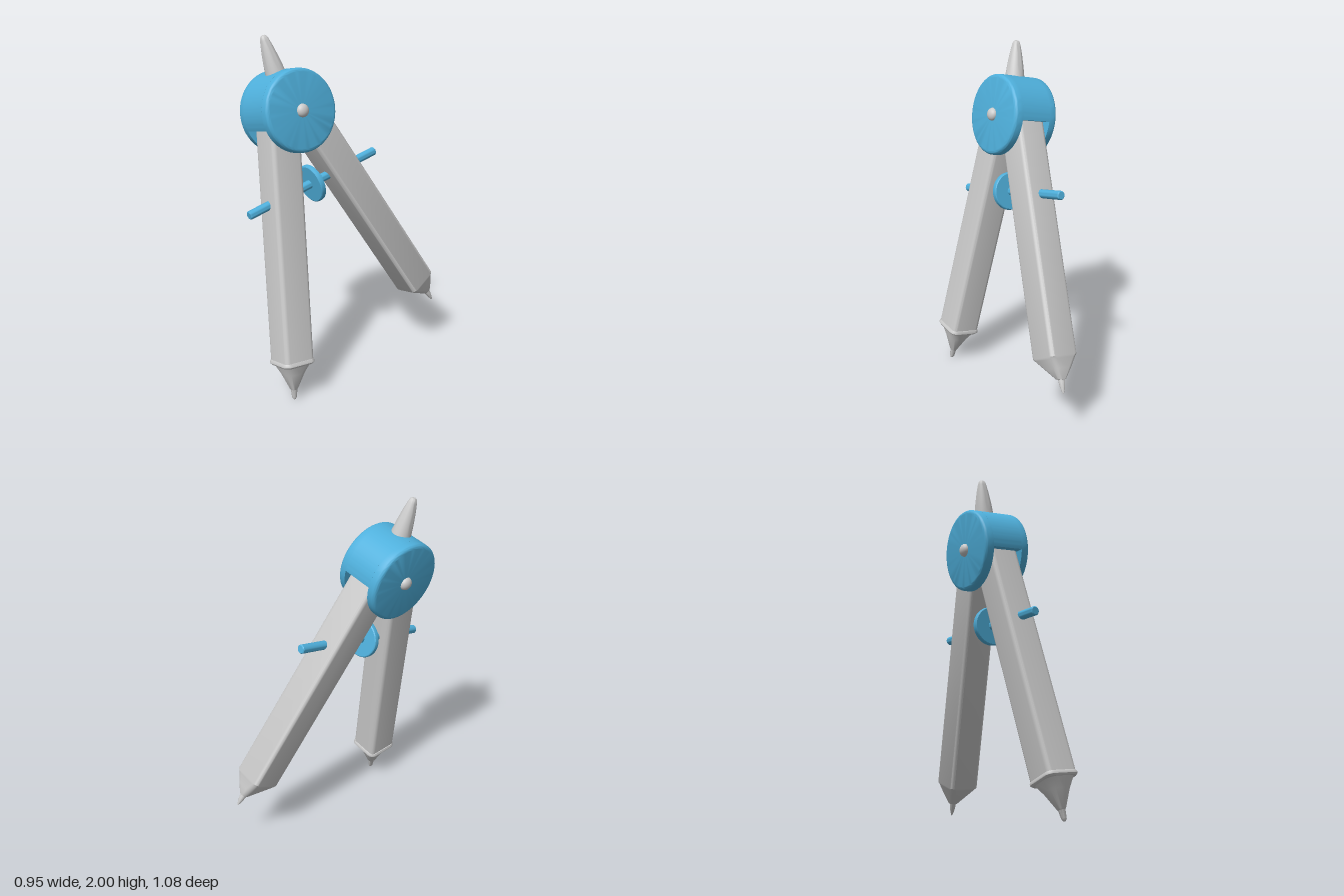
import * as THREE from 'three';
import { toCreasedNormals } from 'three/addons/utils/BufferGeometryUtils.js';

const grey = new THREE.MeshStandardMaterial({ color: 0xcccccc });
const blue = new THREE.MeshStandardMaterial({ color: 0x4fb0dc });

function add(parent, name, geometry, material) {
  const mesh = new THREE.Mesh(geometry, material);
  mesh.name = name;
  parent.add(mesh);
  return mesh;
}

// Rounded-rectangle sections stacked down -y: [distance, half width, half depth, corner radius, x offset]
function loft(sections) {
  const steps = 6, n = 4 * steps, pos = [], index = [];
  for (const [t, w, d, r, off = 0] of sections) {
    for (let j = 0; j < n; j++) {
      const q = Math.floor(j / steps);
      const a = (q + (j % steps) / (steps - 1)) * Math.PI / 2;
      const sx = q === 0 || q === 3 ? 1 : -1, sz = q < 2 ? 1 : -1;
      pos.push(off + sx * (w - r) + r * Math.cos(a), -t, sz * (d - r) + r * Math.sin(a));
    }
  }
  for (let i = 0; i < sections.length - 1; i++) {
    for (let j = 0; j < n; j++) {
      const a = i * n + j, b = i * n + (j + 1) % n;
      index.push(a, b, a + n, b, b + n, a + n);
    }
  }
  const g = new THREE.BufferGeometry();
  g.setAttribute('position', new THREE.Float32BufferAttribute(pos, 3));
  g.setIndex(index);
  return toCreasedNormals(g, 0.6);
}

function lathe(points, segments = 48) {
  const g = new THREE.LatheGeometry(points.map(p => new THREE.Vector2(...p)), segments);
  return toCreasedNormals(g, 0.6);
}

export function createModel() {
  const model = new THREE.Group();
  model.name = 'drawingCompass';

  // Tilted frame: x spans the legs, y points along the handle, z is the hinge axis
  const frame = new THREE.Group();
  frame.name = 'compass';
  const hinge = new THREE.Vector3(-0.835, -0.204, -0.511).normalize();
  const up = new THREE.Vector3(-0.284, 0.955, 0.083);
  up.addScaledVector(hinge, -up.dot(hinge)).normalize();
  const side = new THREE.Vector3().crossVectors(up, hinge);
  frame.quaternion.setFromRotationMatrix(new THREE.Matrix4().makeBasis(side, up, hinge));
  frame.position.set(-0.2425, 1.585, 0.11);
  model.add(frame);

  const R = 0.23, slot = 0.092, half = 0.144;

  // Hinge head: two cheeks with rounded rims, joined by a block above the leg slot
  for (const s of [1, -1]) {
    const f = 0.022, pts = [[0, slot], [R, slot]];
    for (let i = 0; i <= 6; i++) {
      const a = i / 6 * Math.PI / 2;
      pts.push([R - f + f * Math.cos(a), half - f + f * Math.sin(a)]);
    }
    pts.push([0, half]);
    const cheek = add(frame, 'headCheek', lathe(pts, 64), blue);
    cheek.rotation.x = s * Math.PI / 2;

    // Hinge pin ends
    const pin = add(frame, 'hingePin', new THREE.SphereGeometry(0.037, 24, 16), grey);
    pin.position.z = s * half;
    pin.scale.z = 0.75;
  }
  const cut = -0.14;
  const segment = new THREE.Shape();
  segment.absarc(0, 0, R, cut, Math.PI - cut, false);
  segment.closePath();
  const block = new THREE.ExtrudeGeometry(segment, { depth: 2 * slot, bevelEnabled: false, curveSegments: 48 });
  block.translate(0, 0, -slot);
  add(frame, 'headBlock', toCreasedNormals(block, 0.6), blue);

  // Tapered handle with a rounded end
  add(frame, 'handle', lathe([[0.06, 0.18], [0.055, 0.23], [0.047, 0.29], [0.035, 0.36],
    [0.025, 0.405], [0.02, 0.422], [0.012, 0.431], [0, 0.434]], 32), grey);

  // Legs: square bars with softened corners
  const w = 0.095, d = 0.09, angle = 0.309, end = 1.375;
  const bar = [[0, 0, 0, 0], [0, w, d, 0.025], [end, w, d, 0.025]];
  const frontLeg = new THREE.Group();
  frontLeg.name = 'frontLeg';
  frontLeg.position.x = 0.076;
  frontLeg.rotation.z = angle;
  const backLeg = new THREE.Group();
  backLeg.name = 'backLeg';
  backLeg.position.x = -0.076;
  backLeg.rotation.z = -angle;
  frame.add(frontLeg, backLeg);

  add(frontLeg, 'frontLegBar', loft([...bar, [end, 0, 0, 0]]), grey);
  add(frontLeg, 'frontCollar', loft([[end - 0.008, w - 0.01, d - 0.01, 0.03], [end - 0.005, w + 0.004, d + 0.004, 0.035],
    [end + 0.004, w + 0.009, d + 0.009, 0.04], [end + 0.013, w + 0.009, d + 0.009, 0.04],
    [end + 0.022, w + 0.002, d + 0.002, 0.04], [end + 0.025, 0, 0, 0]]), grey);
  add(frontLeg, 'pencilTip', loft([[end + 0.02, 0.09, 0.086, 0.05], [1.45, 0.064, 0.062, 0.05],
    [1.545, 0.023, 0.023, 0.023], [1.55, 0.019, 0.019, 0.019], [1.595, 0.014, 0.014, 0.014],
    [1.607, 0.007, 0.007, 0.007], [1.609, 0, 0, 0]]), grey);

  // Back leg ends in a slanted taper leading to the needle on its outer side
  add(backLeg, 'backLegBar', loft([...bar, [end + 0.012, w - 0.006, d - 0.006, 0.028],
    [1.44, 0.062, 0.058, 0.03, -0.016], [1.5, 0.026, 0.026, 0.026, -0.03], [1.505, 0, 0, 0, -0.03]]), grey);
  add(backLeg, 'needle', loft([[1.49, 0.02, 0.02, 0.02, -0.031], [1.52, 0.017, 0.017, 0.017, -0.031],
    [1.545, 0.013, 0.013, 0.013, -0.031], [1.575, 0.004, 0.004, 0.004, -0.031], [1.578, 0, 0, 0, -0.031]]), grey);

  // Adjusting screw through both legs, with its thumb wheel in the middle
  const screw = add(frame, 'adjustingScrew', lathe([[0, -0.465], [0.02, -0.465], [0.025, -0.46],
    [0.025, 0.46], [0.02, 0.465], [0, 0.465]], 24), blue);
  screw.rotation.z = Math.PI / 2;
  screw.position.set(-0.02, -0.434, 0);
  const wheel = add(frame, 'thumbWheel', lathe([[0, -0.016], [0.104, -0.016], [0.109, -0.012], [0.111, 0],
    [0.109, 0.012], [0.104, 0.016], [0, 0.016]]), blue);
  wheel.rotation.z = Math.PI / 2;
  wheel.position.y = -0.434;

  return model;
}
